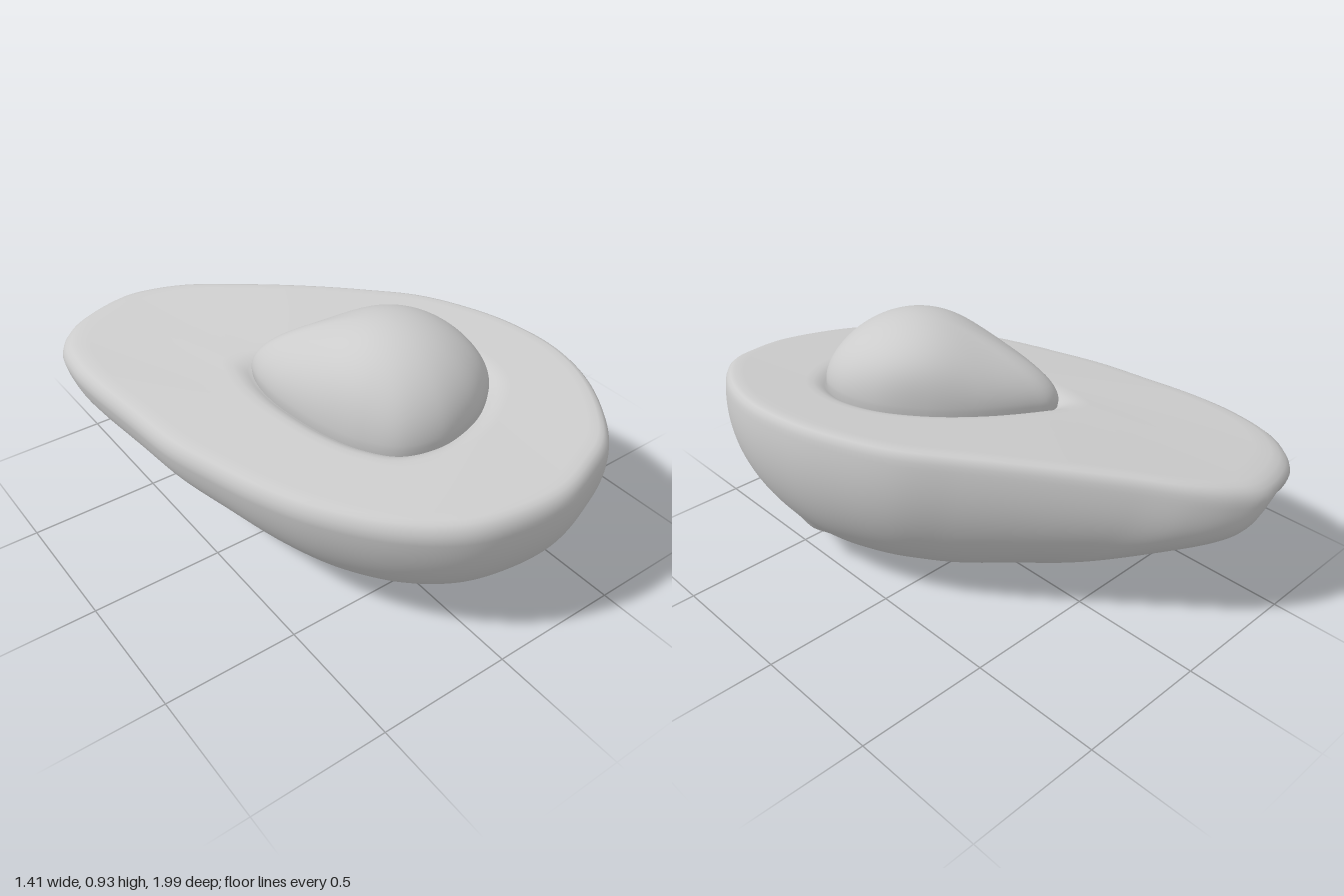
import * as THREE from 'three';
import { mergeVertices } from 'three/addons/utils/BufferGeometryUtils.js';

const SEGMENTS = 220;
const CENTRE = new THREE.Vector2(0.09, 0.25);

// Height of the tilted cut face, drooping a little towards both ends
const cutHeight = (x, z) => 0.655 + 0.11 * x - 0.03 * z - 0.1 * Math.max(0, Math.abs(z - 0.1) - 0.4) ** 2;

// Evenly spaced points on a smooth closed (x, z) outline, clockwise from above
function outline(points) {
  const curve = new THREE.CatmullRomCurve3(points.map(([x, z]) => new THREE.Vector3(x, 0, z)), true);
  return curve.getSpacedPoints(SEGMENTS).slice(0, SEGMENTS).map((p) => new THREE.Vector2(p.x, p.z));
}

const fruitOutline = outline([
  [-0.33, -1], [-0.22, -0.96], [-0.1, -0.875], [0.03, -0.735], [0.2, -0.545], [0.4, -0.31],
  [0.54, -0.13], [0.63, 0.06], [0.685, 0.25], [0.7, 0.48], [0.64, 0.7], [0.5, 0.9],
  [0.37, 0.96], [0.22, 0.995], [0.03, 0.97], [-0.13, 0.91], [-0.3, 0.77], [-0.45, 0.56],
  [-0.54, 0.36], [-0.6, 0.17], [-0.65, -0.02], [-0.675, -0.24], [-0.7, -0.5], [-0.7, -0.65],
  [-0.67, -0.81], [-0.6, -0.91], [-0.51, -0.965],
]);

const seedOutline = outline([
  [-0.16, -0.19], [-0.08, -0.165], [0.1, -0.08], [0.25, 0.03], [0.36, 0.17], [0.4, 0.32],
  [0.37, 0.45], [0.28, 0.53], [0.18, 0.57], [0.05, 0.58], [-0.08, 0.53], [-0.16, 0.42],
  [-0.21, 0.28], [-0.24, 0.1], [-0.245, 0], [-0.235, -0.1], [-0.205, -0.175],
]);

// One ring: the outline scaled about the centre and raised by h from the cut face
function ring(shape, scale, h) {
  return shape.map((p) => {
    const { x, y: z } = p.clone().sub(CENTRE).multiplyScalar(scale).add(CENTRE);
    return new THREE.Vector3(x, cutHeight(x, z) + h, z);
  });
}

// Skin a stack of rings with smooth normals
function loft(rings) {
  const index = [];
  for (let i = 0; i < rings.length - 1; i++) {
    for (let j = 0; j < SEGMENTS; j++) {
      const k = (j + 1) % SEGMENTS;
      const a = i * SEGMENTS + j, b = i * SEGMENTS + k;
      index.push(a, a + SEGMENTS, b, b, a + SEGMENTS, b + SEGMENTS);
    }
  }
  const raw = new THREE.BufferGeometry().setFromPoints(rings.flat());
  raw.setIndex(index);
  const geometry = mergeVertices(raw, 1e-5);
  geometry.computeVertexNormals();
  return geometry;
}

const bell = (d, width) => Math.exp(-((d / width) ** 2));

// Stem scar, small nub and gentle lumps on the skin
const STEM = new THREE.Vector3(-0.42, 0.435, -0.93);
const STEM_IN = new THREE.Vector3(0.2, 0.25, 0.95);
const NUB = new THREE.Vector3(0.5, 0.2, 0.37);
const NUB_OUT = new THREE.Vector3(0.65, -0.75, 0);
function shapeSkin(p, amount) {
  const stem = p.distanceTo(STEM), nub = p.distanceTo(NUB);
  const lump = 0.005 * amount * Math.sin(9 * p.x + 4 * p.z) * Math.sin(8 * p.z - 3 * p.x);
  p.addScaledVector(STEM_IN, 0.06 * bell(stem, 0.085) - 0.05 * bell(stem, 0.045));
  p.addScaledVector(NUB_OUT, 0.035 * bell(nub, 0.05));
  p.y += lump;
}

// Underside ring: round at the broad end, shallower along the left flank of the neck
const RIM = 0.055, DEPTH = 0.595;
const FLANK = new THREE.Vector2(-0.75, -0.66);
function skinRing(scale) {
  return ring(fruitOutline, scale, -RIM).map((p, j) => {
    const side = Math.max(0, fruitOutline[j].clone().sub(CENTRE).normalize().dot(FLANK));
    const power = 0.5 + 0.48 * side ** 4 * (1 - scale ** 6);
    const drop = Math.max(0, 1 - scale * scale) ** power;
    p.y -= DEPTH * drop;
    p.x += 0.09 * drop;
    shapeSkin(p, drop);
    return p;
  });
}

function fruitGeometry() {
  const rings = [];
  // Rounded underside, from the lowest point out to the widest line
  const steps = 50;
  for (let i = 0; i <= steps; i++) rings.push(skinRing(Math.sin((i / steps) * Math.PI / 2)));
  // Soft rim rolling on to the cut face
  for (const [scale, h] of [[0.995, -0.036], [0.985, -0.019], [0.968, -0.007], [0.945, -0.001], [0.9, 0]]) {
    rings.push(ring(fruitOutline, scale, h));
  }
  // Cut face running into the shallow moat around the seed
  for (const [scale, h] of [[1.22, 0], [1.14, -0.002], [1.08, -0.008], [1.03, -0.018], [0.98, -0.03], [0.9, -0.04]]) {
    rings.push(ring(seedOutline, scale, h));
  }
  return loft(rings);
}

function seedGeometry() {
  const APEX = 0.933, ROUND = 0.32;
  const rings = [ring(seedOutline, 0.95, -0.08), ring(seedOutline, 0.99, -0.04)];
  const steps = 28;
  for (let i = 0; i <= steps; i++) {
    const t = (i / steps) * Math.PI / 2;
    const scale = Math.cos(t), rise = Math.sin(t);
    // The teardrop outline becomes a circle towards the top
    const shape = seedOutline.map((p) => {
      const offset = p.clone().sub(CENTRE);
      return offset.clone().setLength(ROUND).lerp(offset, scale ** 3).add(CENTRE);
    });
    rings.push(ring(shape, scale, 0).map((p) => p.setY(THREE.MathUtils.lerp(p.y, APEX, rise))));
  }
  return loft(rings);
}

export function createModel() {
  const group = new THREE.Group();
  group.name = 'halvedAvocado';
  const material = new THREE.MeshStandardMaterial({ color: 0xcccccc });
  const add = (name, geometry) => {
    const mesh = new THREE.Mesh(geometry, material);
    mesh.name = name;
    group.add(mesh);
  };
  add('fruitHalf', fruitGeometry());
  add('seed', seedGeometry());
  return group;
}
